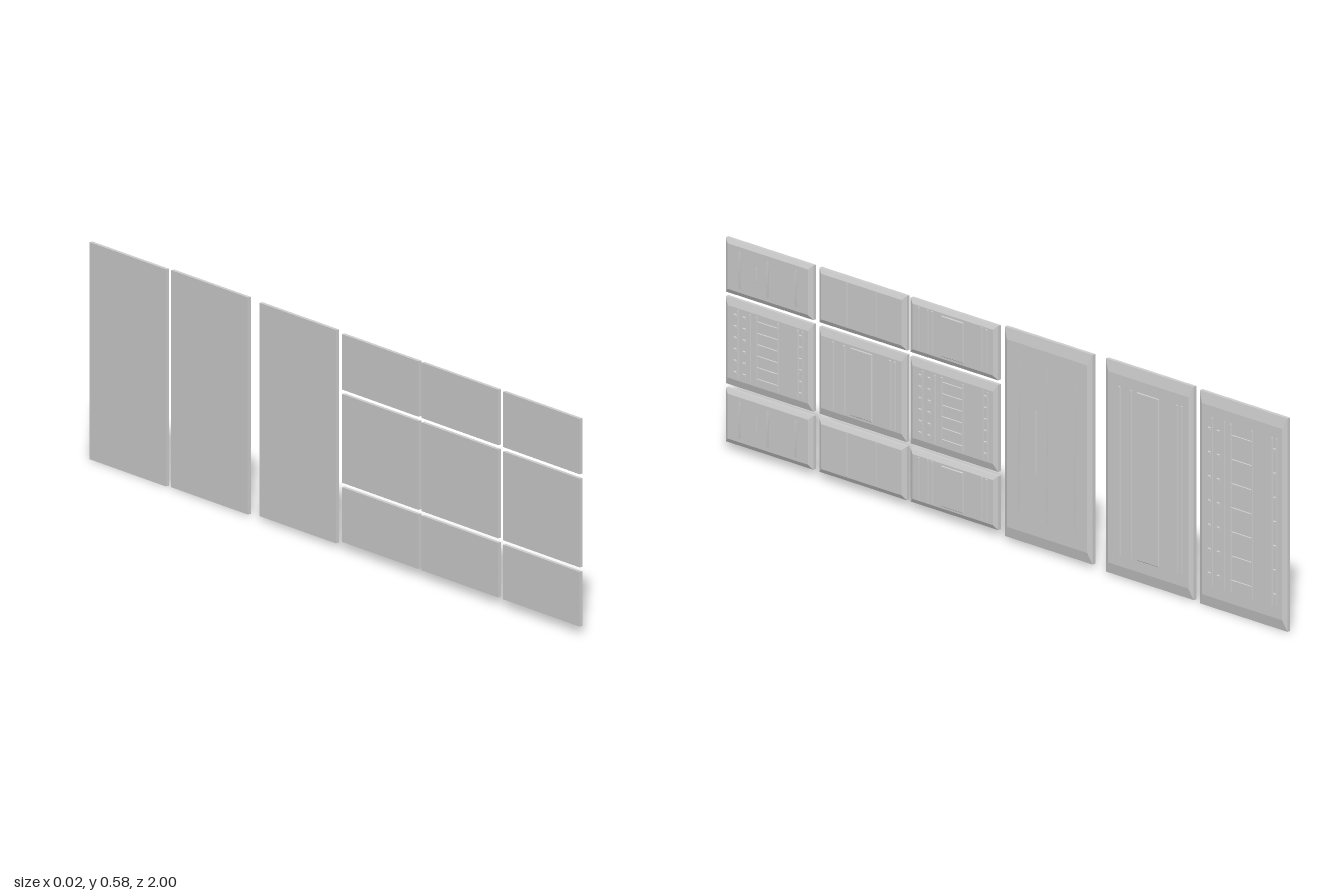
import * as THREE from 'three';

const material = new THREE.MeshStandardMaterial({ color: 0xcccccc, flatShading: true });
const BACK = -0.01, BASE = 0, FACE = 0.0065, TOP = 0.0098;

// Box lying in the yz plane whose outer (+x) face is inset to form bevels
function bevelBox(name, x0, x1, height, width, y, z, insetY = 0, insetZ = insetY) {
  const geometry = new THREE.BoxGeometry(x1 - x0, height, width);
  const p = geometry.attributes.position;
  for (let i = 0; i < p.count; i++) {
    if (p.getX(i) > 0) {
      p.setY(i, p.getY(i) - Math.sign(p.getY(i)) * insetY);
      p.setZ(i, p.getZ(i) - Math.sign(p.getZ(i)) * insetZ);
    }
  }
  geometry.computeVertexNormals();
  const mesh = new THREE.Mesh(geometry, material);
  mesh.name = name;
  mesh.position.set((x0 + x1) / 2, y, z);
  return mesh;
}

function rib(height, z, width = 0.007, top = TOP) {
  return bevelBox('rib', FACE - 0.001, top, height, width, 0, z, 0.0015);
}

// Vertical rib that bows gently out of the panel face
function bowedRib(height, z) {
  const shape = new THREE.Shape();
  shape.moveTo(FACE - 0.001, -height / 2);
  shape.quadraticCurveTo(2 * TOP - FACE, 0, FACE - 0.001, height / 2);
  shape.closePath();
  const geometry = new THREE.ExtrudeGeometry(shape, { depth: 0.007, bevelEnabled: false, curveSegments: 12 });
  const mesh = new THREE.Mesh(geometry, material);
  mesh.name = 'bowedRib';
  mesh.position.z = z - 0.0035;
  return mesh;
}

// Bowed ribs with a short straight one between
function bowedDetails(h) {
  return [...[0.1, 0, -0.1].map((z) => bowedRib(h, z)), rib(h * 0.35, 0.04, 0.005, 0.008)];
}

// Broad raised plate flanked by straight ribs
function plateDetails(h) {
  return [
    bevelBox('raisedPlate', FACE - 0.001, 0.0085, h, 0.08, 0, 0, 0.003),
    ...[0.1, 0.06, -0.104, -0.12].map((z) => rib(h, z)),
  ];
}

// Ladder of rungs with ribs and rows of studs at both sides
function ladderDetails(h, rows) {
  const parts = [0.105, 0.062, 0.038, -0.038, -0.108, -0.125].map((z) => rib(h, z, 0.005));
  for (let i = 0; i < rows; i++) {
    const y = ((i + 0.5) / rows - 0.5) * h;
    parts.push(bevelBox('rung', FACE - 0.001, 0.009, 0.007, 0.076, y, 0, 0.0015));
    for (const z of [0.115, 0.083, -0.118]) {
      parts.push(bevelBox('stud', FACE - 0.001, TOP, 0.009, 0.012, y, z, 0.002));
    }
  }
  return parts;
}

// Hatch plate with groups of vertical ribs
function hatchDetails(h) {
  return [
    bevelBox('hatch', FACE - 0.001, 0.009, h * 0.96, 0.08, 0, 0, 0.003),
    ...[0.12, 0.088, 0.072, -0.104, -0.122].map((z) => rib(h, z, 0.006)),
  ];
}

// Almost flat face divided by two faint strips
function plainDetails(h) {
  return [0.052, -0.052].map((z) => rib(h, z, 0.005, 0.0078));
}

function panel(name, y0, y1, zc, insetY, details) {
  const height = y1 - y0, width = 0.312;
  const group = new THREE.Group();
  group.name = name;
  group.position.set(0, (y0 + y1) / 2, zc);
  group.add(
    bevelBox('backing', BACK, BASE, height, width, 0, 0),
    bevelBox('bevelledFace', BASE, FACE, height, width, 0, 0, insetY, 0.013),
    ...details,
  );
  return group;
}

export function createModel() {
  const model = new THREE.Group();
  model.name = 'wallPanelSet';

  // Three columns of small panels, each with matching top and bottom
  const columns = [
    { z: 0.844, edge: bowedDetails, middle: (h) => ladderDetails(h, 6) },
    { z: 0.511, edge: plainDetails, middle: plateDetails },
    { z: 0.186, edge: hatchDetails, middle: (h) => ladderDetails(h, 6) },
  ];
  for (const { z, edge, middle } of columns) {
    model.add(
      panel('upperPanel', 0.427, 0.575, z, 0.012, edge(0.118)),
      panel('middlePanel', 0.178, 0.415, z, 0.02, middle(0.187)),
      panel('lowerPanel', 0.02, 0.166, z, 0.012, edge(0.118)),
    );
  }

  // Tall panels
  model.add(
    panel('tallBowedPanel', 0.01, 0.58, -0.15, 0.03, bowedDetails(0.49)),
    panel('tallPlatePanel', 0.003, 0.583, -0.51, 0.03, plateDetails(0.46)),
    panel('tallLadderPanel', 0, 0.58, -0.844, 0.03, ladderDetails(0.46, 7)),
  );
  return model;
}
